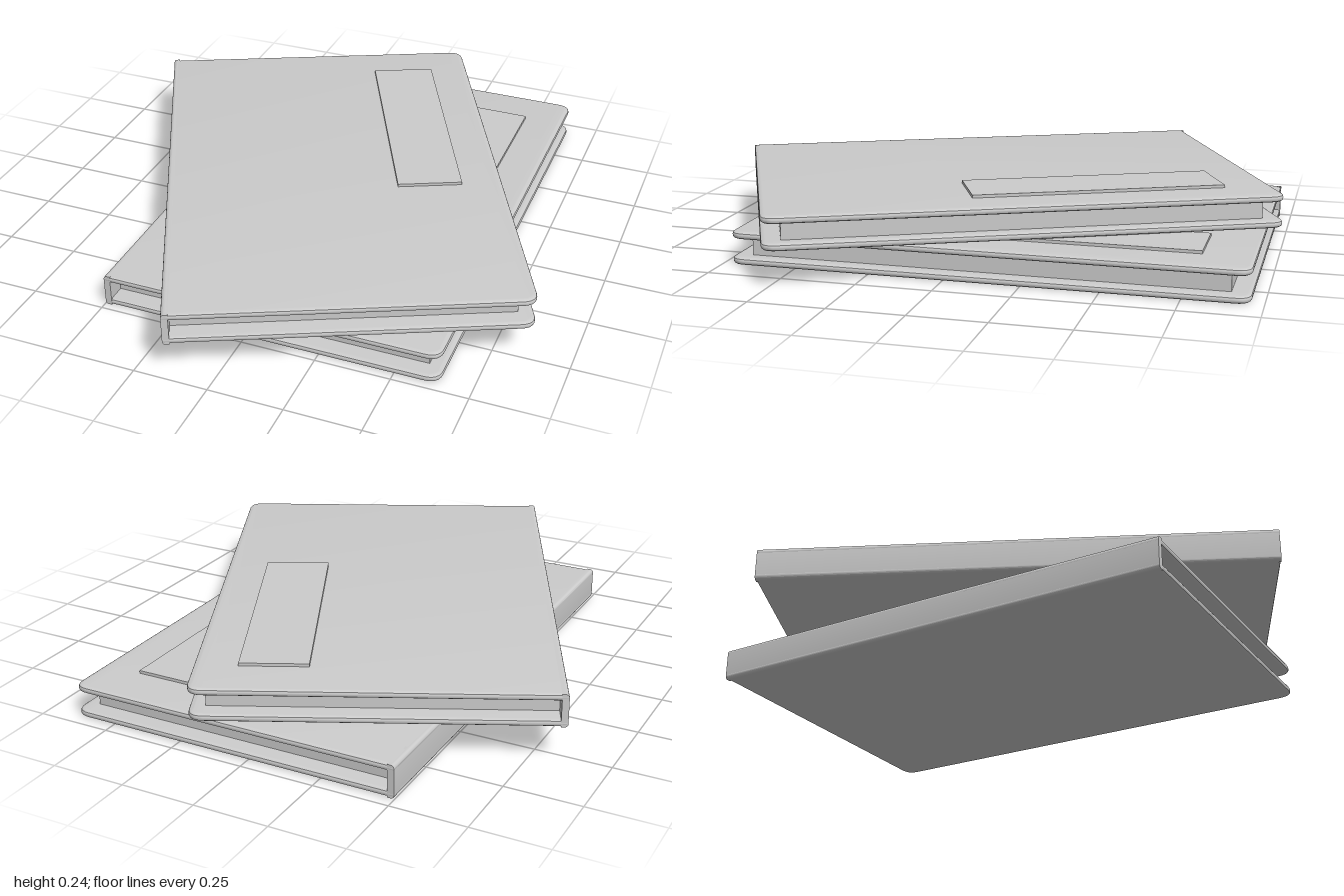
import * as THREE from 'three';
import { toCreasedNormals } from 'three/addons/utils/BufferGeometryUtils.js';

const WIDTH = 1.145, LENGTH = 1.685, HEIGHT = 0.11, COVER = 0.024;
const material = new THREE.MeshStandardMaterial({ color: 0xcccccc });

function addMesh(group, name, geometry, x = 0, y = 0, z = 0) {
  const mesh = new THREE.Mesh(geometry, material);
  mesh.name = name;
  mesh.position.set(x, y, z);
  group.add(mesh);
  return mesh;
}

// Board with two rounded corners on the opening side and softened edges
function coverGeometry() {
  const h = LENGTH / 2, r = 0.05, bevel = 0.009;
  const s = new THREE.Shape();
  s.moveTo(0, -h);
  s.lineTo(WIDTH - r, -h);
  s.quadraticCurveTo(WIDTH, -h, WIDTH, -h + r);
  s.lineTo(WIDTH, h - r);
  s.quadraticCurveTo(WIDTH, h, WIDTH - r, h);
  s.lineTo(0, h);
  const g = new THREE.ExtrudeGeometry(s, {
    depth: COVER - 2 * bevel, bevelThickness: bevel, bevelSize: 0.014,
    bevelOffset: -0.014, bevelSegments: 3, curveSegments: 6,
  });
  g.translate(0, 0, bevel).rotateX(-Math.PI / 2);
  return toCreasedNormals(g, 0.6);
}

// Thin spine strip with rounded outer edges, running along z
function spineGeometry() {
  const t = 0.022, r = 0.012;
  const s = new THREE.Shape();
  s.moveTo(t, 0);
  s.lineTo(t, HEIGHT);
  s.lineTo(r, HEIGHT);
  s.quadraticCurveTo(0, HEIGHT, 0, HEIGHT - r);
  s.lineTo(0, r);
  s.quadraticCurveTo(0, 0, r, 0);
  const g = new THREE.ExtrudeGeometry(s, { depth: LENGTH, bevelEnabled: false, curveSegments: 5 });
  g.translate(0, 0, -LENGTH / 2);
  return toCreasedNormals(g, 0.6);
}

// A book whose origin is at the middle of its spine, opening towards +x
function createBook(name) {
  const book = new THREE.Group();
  book.name = name;
  const cover = coverGeometry();
  addMesh(book, 'bottomCover', cover);
  addMesh(book, 'topCover', cover, 0, HEIGHT - COVER, 0);
  addMesh(book, 'spine', spineGeometry());
  addMesh(book, 'pages', new THREE.BoxGeometry(1.075, HEIGHT - 2 * COVER + 0.004, 1.56), 0.5575, HEIGHT / 2, 0);
  addMesh(book, 'label', new THREE.BoxGeometry(0.22, 0.012, 0.845), 0.895, HEIGHT + 0.004, -0.256);
  return book;
}

export function createModel() {
  const model = new THREE.Group();
  model.name = 'bookStack';

  const lower = createBook('lowerBook');
  lower.position.set(-0.498, 0, -0.118);

  const upper = createBook('upperBook');
  upper.position.set(-0.508, 0.121, 0.226);
  upper.rotation.y = 0.44;

  model.add(lower, upper);
  return model;
}
